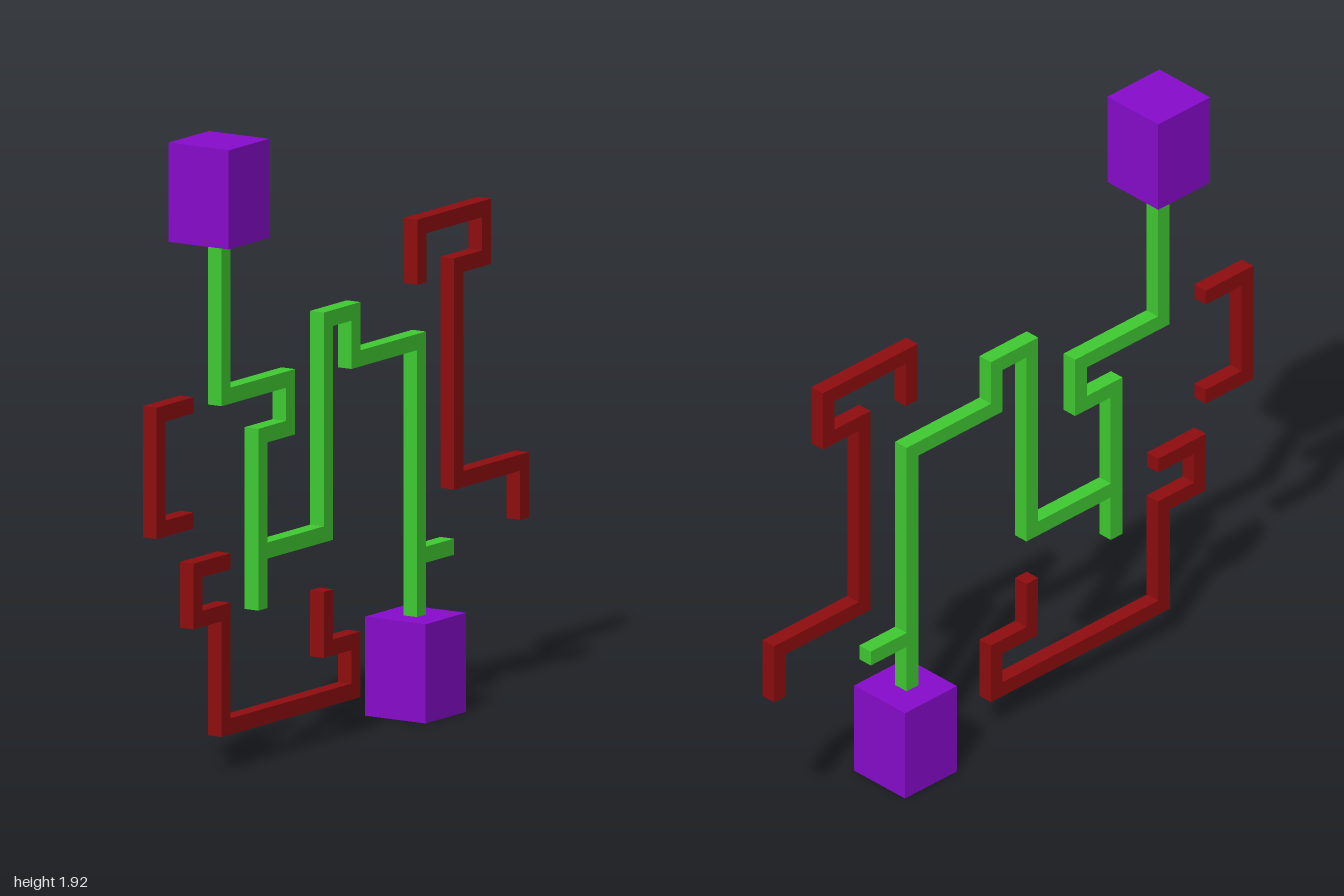
import * as THREE from 'three';

const T = 0.049; // thickness of the square bars

const material = (name, color) => {
  const m = new THREE.MeshStandardMaterial({ color });
  m.name = name;
  return m;
};

// Square bar following a right-angled centreline of [z, y] points, with mitred corners
function bar(name, points, mat) {
  const p = points.map(([z, y]) => new THREE.Vector2(z, y));
  const last = p.length - 1;
  const dirs = p.slice(1).map((q, i) => q.clone().sub(p[i]).normalize());
  const left = [], right = [];
  p.forEach((q, i) => {
    const a = dirs[Math.max(i - 1, 0)], b = dirs[Math.min(i, last - 1)];
    const offset = new THREE.Vector2(-a.y, a.x);
    if (i > 0 && i < last) offset.add(new THREE.Vector2(-b.y, b.x)); // corner
    offset.multiplyScalar(T / 2);
    left.push(q.clone().add(offset));
    right.unshift(q.clone().sub(offset));
  });
  const geo = new THREE.ExtrudeGeometry(new THREE.Shape([...left, ...right]), { depth: T, bevelEnabled: false });
  geo.translate(0, 0, -T / 2).rotateY(-Math.PI / 2); // shape x becomes z
  const mesh = new THREE.Mesh(geo, mat);
  mesh.name = name;
  return mesh;
}

export function createModel() {
  const green = material('green', 0x40cc33);
  const red = material('dark red', 0x900d0f);
  const purple = material('purple', 0x880bcc);
  const group = new THREE.Group();
  group.name = 'pathMaze';

  // End blocks
  for (const [name, y, z] of [['upperBlock', 1.766, 0.63], ['lowerBlock', 0.151, -0.427]]) {
    const block = new THREE.Mesh(new THREE.BoxGeometry(0.217, 0.302, 0.217), purple);
    block.position.set(0, y, z);
    block.name = name;
    group.add(block);
  }

  // Connected path between the blocks, with two dead-end spurs
  group.add(
    bar('mainPath', [
      [0.627, 1.615], [0.627, 1.139], [0.281, 1.139], [0.281, 0.989], [0.43, 0.989], [0.43, 0.635],
      [0.078, 0.635], [0.078, 1.286], [-0.07, 1.286], [-0.07, 1.139], [-0.422, 1.139], [-0.422, 0.302],
    ], green),
    bar('lowerSpur', [[0.43, 0.635 - T / 2], [0.43, 0.46]], green),
    bar('sideSpur', [[-0.422 - T / 2, 0.484], [-0.596, 0.484]], green),
  );

  // Detached decoy paths
  group.add(
    bar('frontBracket', [[0.802, 1.142], [0.976, 1.142], [0.976, 0.791], [0.802, 0.791]], red),
    bar('lowerDecoy', [
      [0.604, 0.635], [0.778, 0.635], [0.778, 0.484], [0.628, 0.484], [0.628, 0.132],
      [-0.07, 0.132], [-0.07, 0.283], [0.078, 0.283], [0.078, 0.46],
    ], red),
    bar('backDecoy', [
      [-0.425, 1.313], [-0.425, 1.487], [-0.772, 1.487], [-0.772, 1.337], [-0.622, 1.337],
      [-0.622, 0.682], [-0.975, 0.682], [-0.975, 0.508],
    ], red),
  );
  return group;
}
